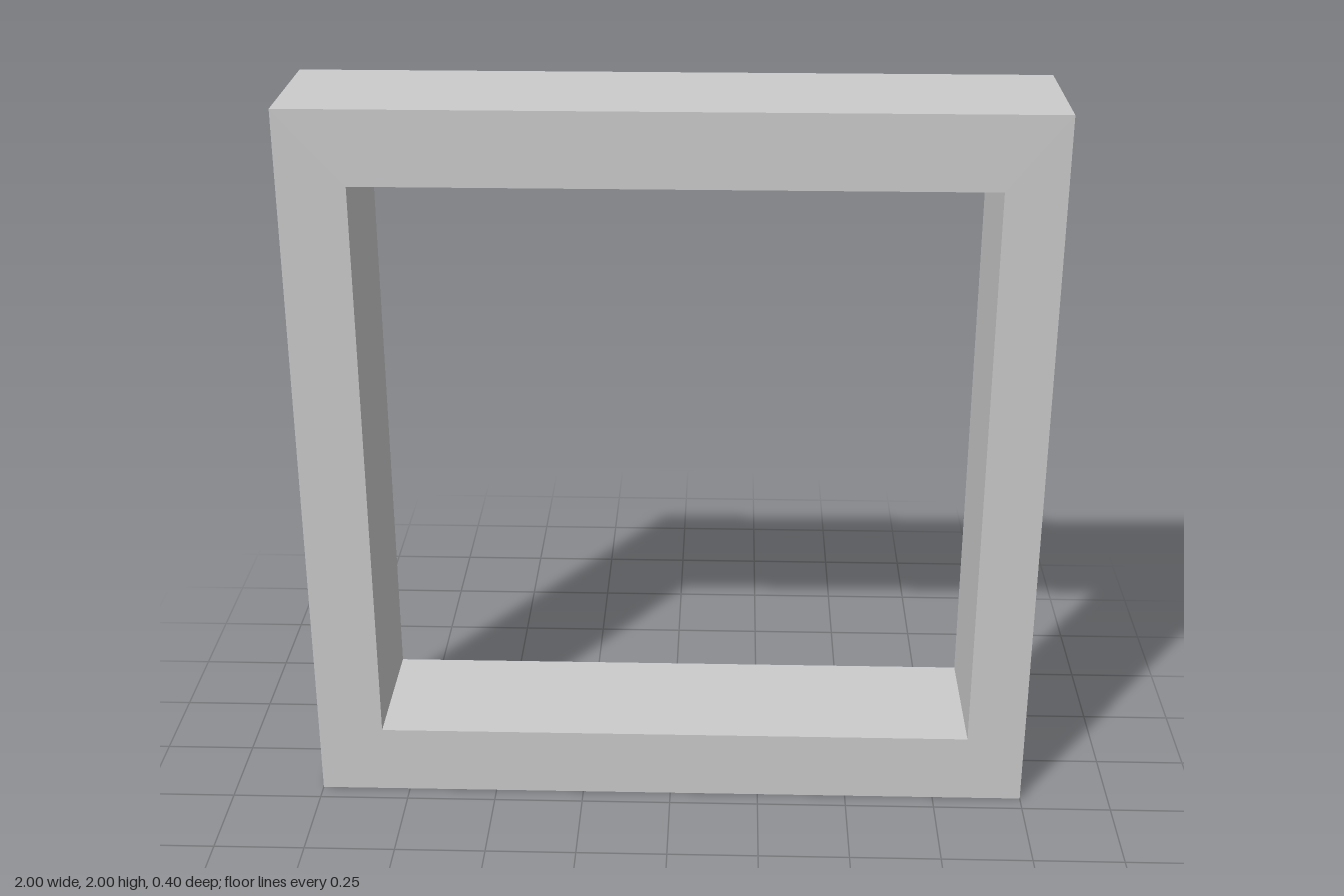
import * as THREE from 'three';

const DEPTH = 0.4;

// Adds a rectangle running through the given corners to a shape or path
function rectangle(path, x0, y0, x1, y1) {
  path.moveTo(x0, y0);
  path.lineTo(x1, y0);
  path.lineTo(x1, y1);
  path.lineTo(x0, y1);
  path.closePath();
  return path;
}

export function createModel() {
  const group = new THREE.Group();
  group.name = 'squareFrame';

  // Square outline with a slightly off-centre opening
  const outline = rectangle(new THREE.Shape(), -1, 0, 1, 2);
  outline.holes.push(rectangle(new THREE.Path(), -0.82, 0.195, 0.84, 1.8));

  const geometry = new THREE.ExtrudeGeometry(outline, { depth: DEPTH, bevelEnabled: false });
  geometry.translate(0, 0, -DEPTH / 2);

  const frame = new THREE.Mesh(
    geometry,
    new THREE.MeshStandardMaterial({ color: 0xcccccc, flatShading: true })
  );
  frame.name = 'frame';
  group.add(frame);
  return group;
}
